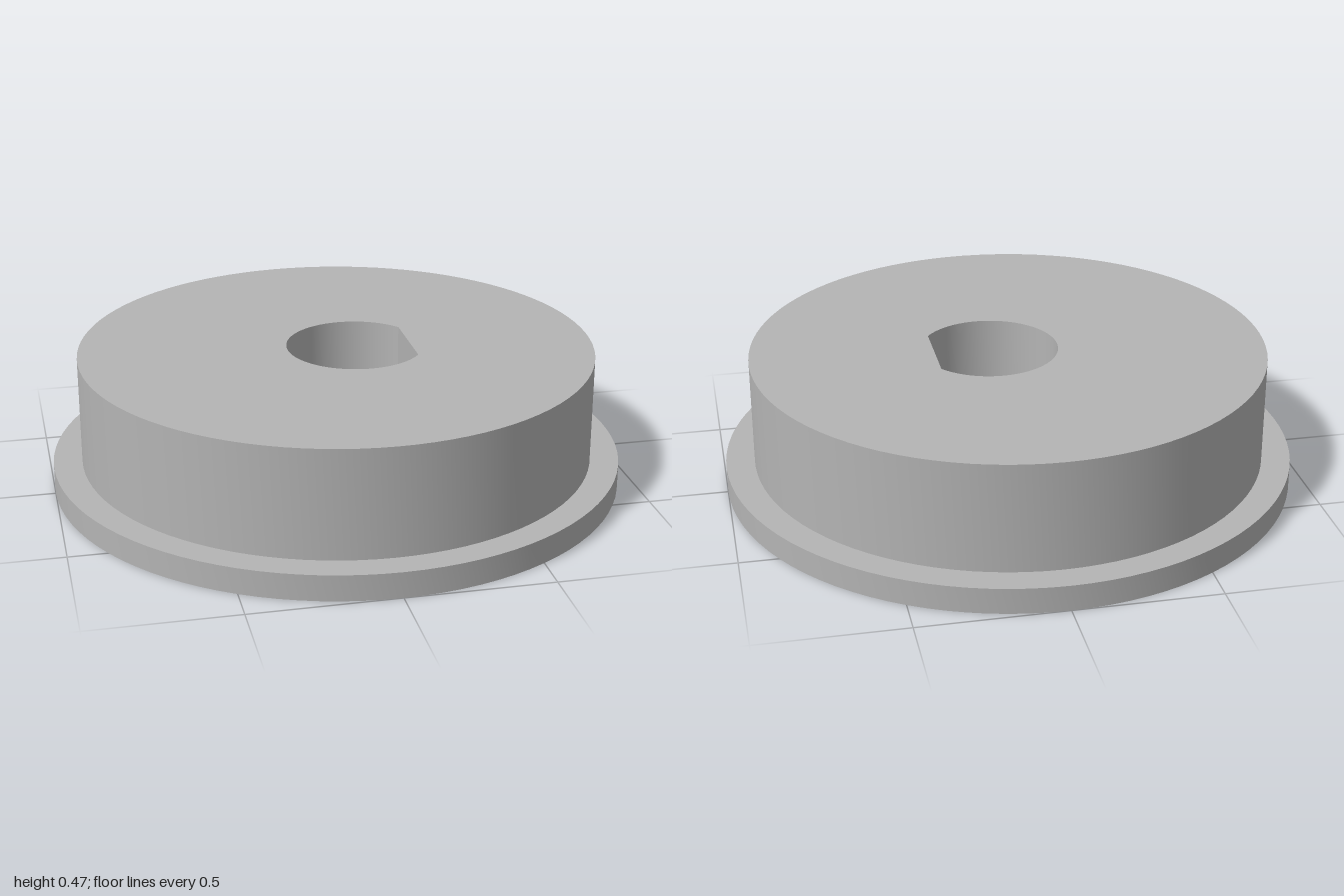
import * as THREE from 'three';
import { toCreasedNormals } from 'three/addons/utils/BufferGeometryUtils.js';

const BORE = { x: 0.067, radius: 0.24, flatX: 0.26 };

// Round bore with one flat side (D-shaped)
function boreHole() {
  const a = Math.acos((BORE.flatX - BORE.x) / BORE.radius);
  const hole = new THREE.Path();
  hole.absarc(BORE.x, 0, BORE.radius, a, Math.PI * 2 - a, false);
  hole.closePath();
  return hole;
}

// Upright disc pierced by the bore
function disc(name, radius, bottom, top, material) {
  const shape = new THREE.Shape();
  shape.absarc(0, 0, radius, 0, Math.PI * 2, false);
  shape.holes.push(boreHole());
  const extruded = new THREE.ExtrudeGeometry(shape, {
    depth: top - bottom, bevelEnabled: false, curveSegments: 48,
  });
  extruded.rotateX(-Math.PI / 2).translate(0, bottom, 0);
  const mesh = new THREE.Mesh(toCreasedNormals(extruded, Math.PI / 6), material);
  mesh.name = name;
  return mesh;
}

export function createModel() {
  const group = new THREE.Group();
  group.name = 'flangedHub';
  const grey = new THREE.MeshStandardMaterial({ color: 0xb4b4b4 });
  grey.name = 'grey';

  group.add(
    disc('baseFlange', 1, 0, 0.09, grey),
    disc('hubBody', 0.9, 0.09, 0.47, grey),
  );
  return group;
}
